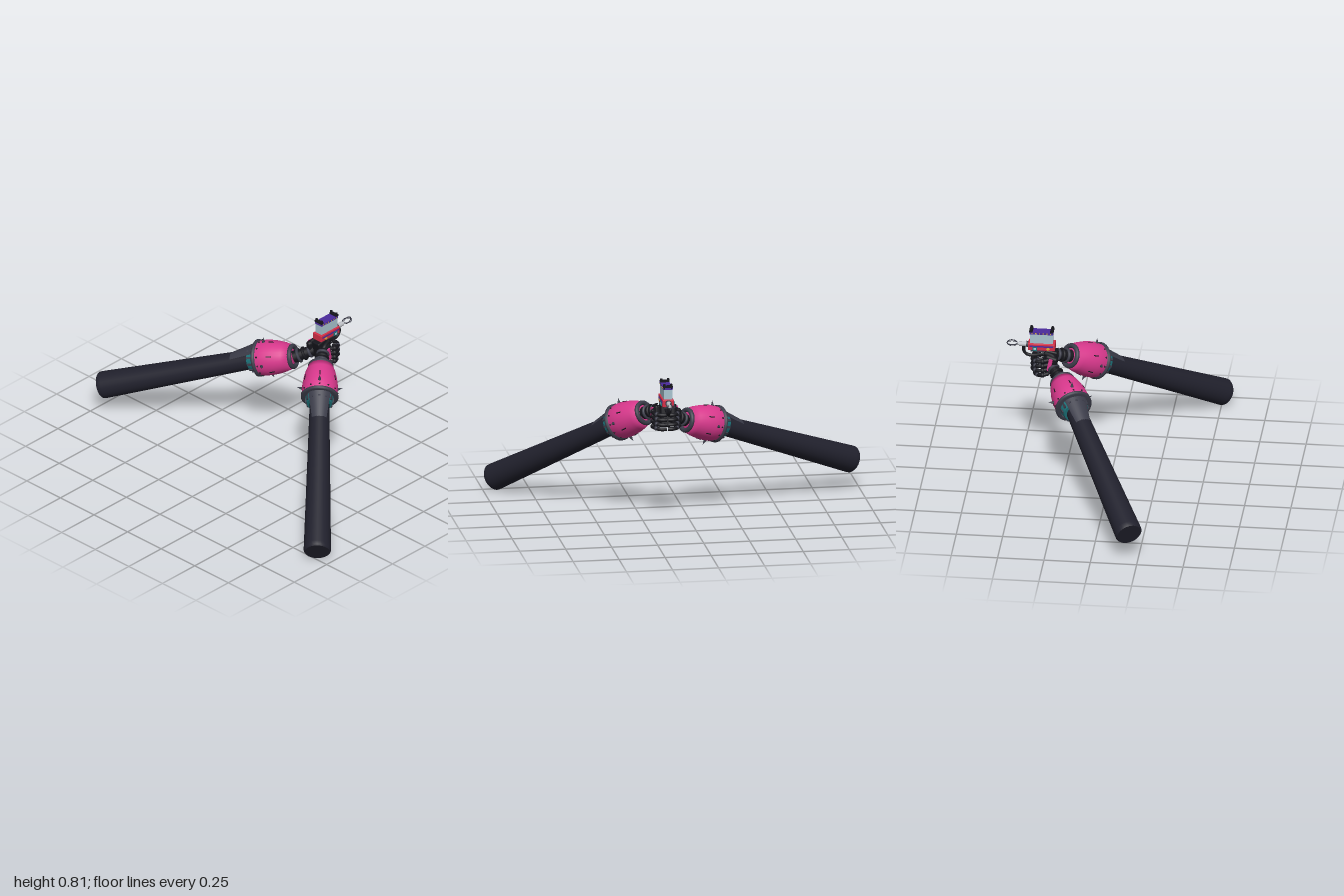
import * as THREE from 'three';
import { RoundedBoxGeometry } from 'three/addons/geometries/RoundedBoxGeometry.js';

const mat = (name, color) => Object.assign(new THREE.MeshStandardMaterial({ color }), { name });
const V = (x, y, z) => new THREE.Vector3(x, y, z);

export function createModel() {
  const M = {
    sleeve: mat('navy sleeve', 0x21212d),
    black: mat('black rubber', 0x16161c),
    grey: mat('slate trim', 0x3b3c49),
    pink: mat('pink armour', 0xd8388c),
    teal: mat('teal band', 0x1d757c),
    glass: mat('pale blue casing', 0xa9c4d0),
    purple: mat('purple trim', 0x4b2a9c),
    red: mat('red casing', 0xd62f48),
    silver: mat('silver metal', 0xbfc2c8),
    yellow: mat('yellow mark', 0xd9b23c),
  };
  const flap = M.grey;
  flap.side = THREE.DoubleSide;
  const root = new THREE.Group();
  root.name = 'armsWithDevice';

  const add = (parent, name, geo, material, x = 0, y = 0, z = 0) => {
    const m = new THREE.Mesh(geo, material);
    m.name = name;
    m.position.set(x, y, z);
    parent.add(m);
    return m;
  };
  const box = (parent, name, material, w, h, d, x, y, z, r = 0) =>
    add(parent, name, r ? new RoundedBoxGeometry(w, h, d, 2, r) : new THREE.BoxGeometry(w, h, d), material, x, y, z);
  const lathe = (pts, n = 32) => new THREE.LatheGeometry(pts.map(p => new THREE.Vector2(...p)), n);
  const tube = (pts, r, n = 14) => new THREE.TubeGeometry(new THREE.CatmullRomCurve3(pts), n, r, 8);

  // Group whose local y runs from a to b, and whose local z points upwards
  const along = (name, a, b) => {
    const g = new THREE.Group();
    g.name = name;
    const y = b.clone().sub(a).normalize();
    const z = V(0, 1, 0).addScaledVector(y, -y.y).normalize();
    g.quaternion.setFromRotationMatrix(new THREE.Matrix4().makeBasis(y.clone().cross(z), y, z));
    g.position.copy(a);
    g.userData.length = a.distanceTo(b);
    root.add(g);
    return g;
  };

  // One arm: sleeve, armoured cuff and wrist
  function arm(side, end, cuffA, cuffB, hand) {
    const s = along(side + 'Sleeve', end, cuffA), L = s.userData.length;
    add(s, 'sleeve', lathe([[0, 0], [0.067, 0], [0.067, 0], [0.073, 0.008], [0.073, 0.03],
      [0.053, L - 0.05], [0.053, L + 0.02], [0, L + 0.02]], 28), M.sleeve);
    add(s, 'sleeveFlap', new THREE.CylinderGeometry(0.083, 0.054, 0.15, 10, 1, true, -0.8, 1.6), flap, 0, L - 0.075, 0);

    const c = along(side + 'Cuff', cuffA, cuffB);
    add(c, 'tealBand', new THREE.CylinderGeometry(0.078, 0.066, 0.045, 28), M.teal, 0, -0.02, 0);
    add(c, 'cuffRim', lathe([[0, -0.004], [0.092, -0.004], [0.101, 0.002], [0.101, 0.012], [0.092, 0.018]]), M.grey);
    add(c, 'cuffShell', lathe([[0.091, 0.012], [0.096, 0.04], [0.096, 0.075], [0.09, 0.12], [0.079, 0.165],
      [0.066, 0.2], [0, 0.202]]), M.pink);
    const ring = add(c, 'cuffRing', new THREE.TorusGeometry(0.056, 0.013, 10, 28), M.grey, 0, 0.205, 0);
    ring.rotation.x = Math.PI / 2;
    for (let i = 0; i < 12; i++) {
      const p = new THREE.Group();
      p.name = 'cuffStuds' + i;
      p.rotation.y = i * Math.PI / 6;
      c.add(p);
      add(p, 'rivet', new THREE.SphereGeometry(0.005, 8, 6), M.black, 0, 0.03, 0.095);
      box(p, 'bandClip', M.grey, 0.012, 0.036, 0.008, 0, -0.018, 0.073);
      if (i % 2 === 0) {
        box(p, 'slot', M.black, 0.005, 0.03, 0.006, 0, 0.1, 0.092).rotation.x = -0.17;
      }
      if (i % 3 === 0) {
        const k = add(p, 'spike', new THREE.ConeGeometry(0.01, 0.032, 6), M.grey, 0, 0.06, 0.108);
        k.rotation.x = Math.PI / 2 - 0.3;
      }
    }

    const w = along(side + 'Wrist', cuffB, hand), W = w.userData.length;
    add(w, 'wrist', new THREE.CylinderGeometry(0.026, 0.034, W + 0.02, 16), M.black, 0, W / 2, 0);
    for (let i = 0; i < 3; i++) {
      add(w, 'wristRing', new THREE.TorusGeometry(0.034 - i * 0.003, 0.008, 8, 20), i % 2 ? M.black : M.grey,
        0, 0.02 + i * W * 0.3, 0).rotation.x = Math.PI / 2;
    }
  }
  arm('right', V(-0.96, 0.165, 0.205), V(-0.165, 0.505, -0.18), V(0.03, 0.56, -0.268), V(0.105, 0.605, -0.33));
  arm('left', V(0.942, 0.065, 0.512), V(0.365, 0.515, -0.105), V(0.235, 0.605, -0.25), V(0.185, 0.635, -0.32));

  // Hands gripping the handle, mirrored about its centre line
  const hold = new THREE.Group();
  hold.name = 'handsAndDevice';
  hold.position.x = 0.145;
  root.add(hold);
  for (const s of [1, -1]) {
    const h = new THREE.Group();
    h.name = s > 0 ? 'leftHand' : 'rightHand';
    hold.add(h);
    const palm = box(h, 'palm', M.black, 0.034, 0.105, 0.07, s * 0.048, 0.615, -0.335, 0.014);
    palm.rotation.set(0.2, s * 0.25, 0);
    const plate = box(h, 'backPlate', M.pink, 0.008, 0.07, 0.02, s * 0.069, 0.622, -0.337);
    plate.rotation.copy(palm.rotation);
    for (let i = 0; i < 4; i++) {
      const y = 0.647 - i * 0.027, e = i === 3 ? 0.012 : 0;
      add(h, 'finger' + i, tube([V(s * 0.058, y, -0.345), V(s * 0.07, y - 0.004, -0.375),
        V(s * 0.06, y - 0.009, -0.412 + e), V(s * 0.03, y - 0.011, -0.434 + e), V(s * 0.004, y - 0.011, -0.432 + e)], 0.0105), M.black);
      add(h, 'knuckle' + i, new THREE.SphereGeometry(0.014, 10, 8), M.black, s * 0.07, y - 0.004, -0.375);
      add(h, 'joint' + i, new THREE.SphereGeometry(0.0125, 10, 8), M.grey, s * 0.056, y - 0.009, -0.416 + e);
    }
    add(h, 'thumb', tube([V(s * 0.05, 0.63, -0.31), V(s * 0.045, 0.66, -0.32), V(s * 0.034, 0.675, -0.365)], 0.012), M.black);
  }

  // Handle with its metal foot
  box(hold, 'handle', M.black, 0.055, 0.135, 0.07, 0, 0.618, -0.345, 0.008).rotation.x = 0.2;
  box(hold, 'handleFoot', M.silver, 0.062, 0.016, 0.088, 0, 0.547, -0.325).rotation.x = 0.2;

  // Device body
  box(hold, 'lowerCasing', M.red, 0.062, 0.04, 0.146, 0, 0.707, -0.386, 0.004);
  box(hold, 'casingStripe', M.purple, 0.066, 0.008, 0.125, 0, 0.712, -0.386);
  box(hold, 'underRail', M.grey, 0.045, 0.014, 0.12, 0, 0.683, -0.385);
  box(hold, 'upperCasing', M.glass, 0.046, 0.056, 0.122, 0, 0.754, -0.386);
  box(hold, 'topBand', M.purple, 0.052, 0.012, 0.126, 0, 0.787, -0.386);
  for (const s of [1, -1]) {
    for (let i = 0; i < 6; i++) box(hold, 'bandMark', M.yellow, 0.002, 0.006, 0.006, s * 0.0262, 0.787, -0.336 - i * 0.02);
    box(hold, 'sideBadge', M.yellow, 0.004, 0.014, 0.014, s * 0.032, 0.7, -0.35).rotation.x = Math.PI / 4;
    box(hold, 'sidePort', M.teal, 0.012, 0.022, 0.024, s * 0.031, 0.7, -0.42);
    box(hold, 'sidePortCap', M.glass, 0.006, 0.01, 0.012, s * 0.038, 0.7, -0.42);
    for (const z of [-0.33, -0.443]) {
      add(hold, 'topPost', new THREE.CylinderGeometry(0.007, 0.007, 0.026, 10), M.black, s * 0.019, 0.798, z);
    }
  }
  for (const z of [-0.33, -0.443]) box(hold, 'postBridge', M.black, 0.05, 0.01, 0.018, 0, 0.798, z);

  // Barrel, tip rings and trigger pipe
  const turn = (name, r, len, m, z) =>
    add(hold, name, new THREE.CylinderGeometry(r, r, len, 16), m, 0, 0.709, z).rotation.x = Math.PI / 2;
  turn('barrel', 0.013, 0.055, M.silver, -0.482);
  turn('barrelCollar', 0.017, 0.01, M.grey, -0.464);
  turn('barrelTip', 0.008, 0.018, M.silver, -0.515);
  for (const tilt of [0, Math.PI / 2]) {
    const t = add(hold, 'tipRing', new THREE.TorusGeometry(0.025, 0.0025, 6, 28), M.grey, 0, 0.712, -0.546);
    t.rotation.set(Math.PI / 2, tilt, 0);
    t.scale.set(tilt ? 0.75 : 0.9, 1.1, 1);
  }
  add(hold, 'triggerPipe', tube([V(0, 0.7, -0.483), V(0, 0.668, -0.483), V(0, 0.648, -0.465),
    V(0, 0.644, -0.43), V(0, 0.655, -0.38)], 0.009, 20), M.black);

  return root;
}
